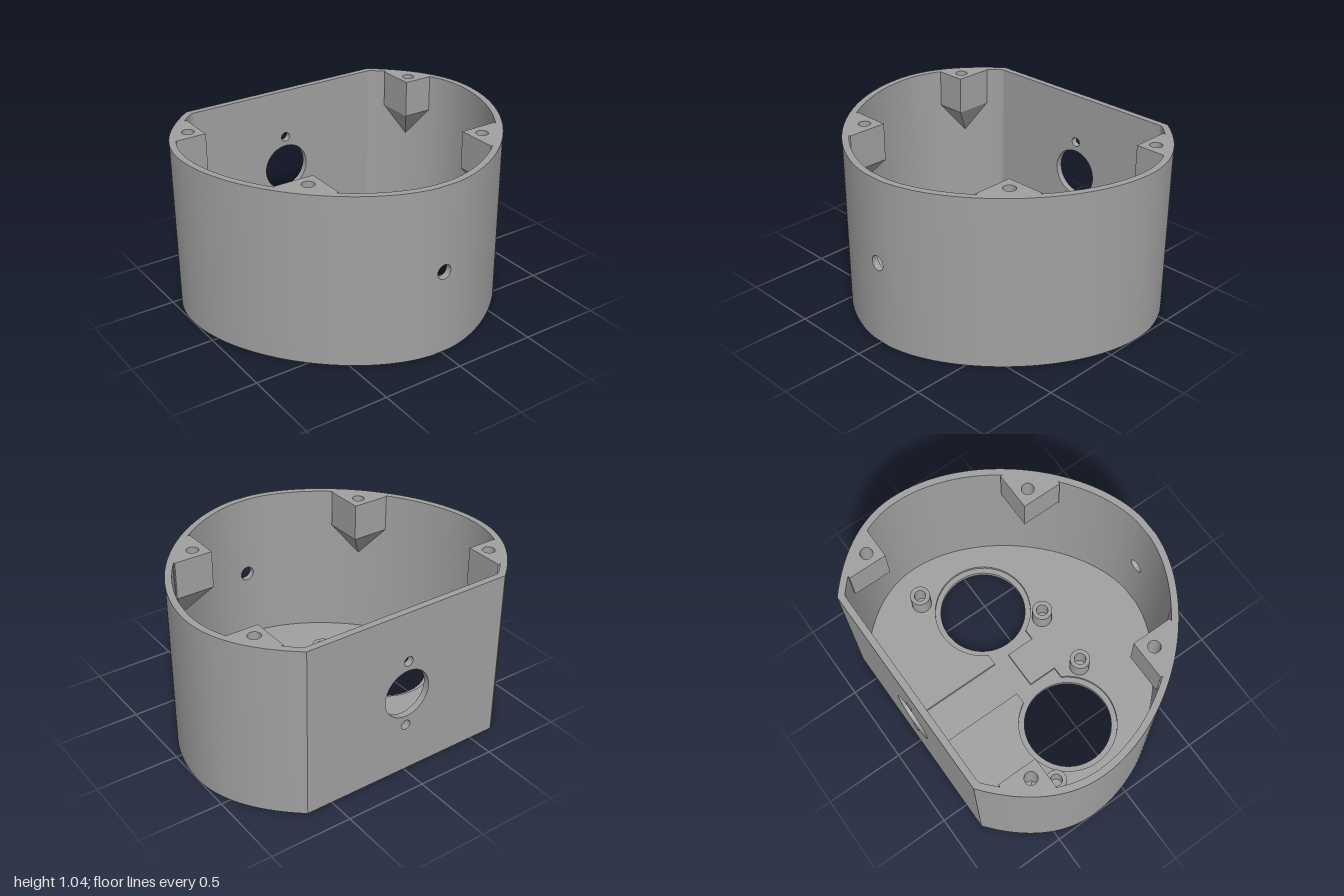
import * as THREE from 'three';
import { toCreasedNormals } from 'three/addons/utils/BufferGeometryUtils.js';

const H = 1.04, WALL = 0.04, FLOOR = 0.07, BACK = -0.835, FRONT = 0.835;
const EYE = { x: 0.46, z: -0.04 };
const PATCH = 0.06; // half width of the front panel carrying the small hole
const V = (x, z) => new THREE.Vector2(x, z);

// Half outline in plan (x, z), from the front centre round to the back corner
const frontCurve = new THREE.CubicBezierCurve(V(0, FRONT), V(0.46, FRONT), V(1, 0.29), V(1, -0.24));
const backCurve = new THREE.CubicBezierCurve(V(1, -0.24), V(1, -0.5), V(0.83, -0.7), V(0.66, BACK));

function halfOutline(inset) {
  const out = [];
  for (const [curve, n, start] of [[frontCurve, 60, 0], [backCurve, 30, 1]]) {
    for (let i = start; i <= n; i++) {
      const p = curve.getPoint(i / n), t = curve.getTangent(i / n);
      const q = V(p.x + t.y * inset, p.y - t.x * inset);
      q.y = Math.max(q.y, BACK + inset);
      out.push(q);
    }
  }
  return out;
}
const mirror = (pts) => pts.map((p) => V(-p.x, p.y));
const circle = (x, z, r, n = 48) =>
  Array.from({ length: n }, (_, i) => V(x + r * Math.cos((i / n) * 2 * Math.PI), z + r * Math.sin((i / n) * 2 * Math.PI)));

// Plan outline extruded from y0 to y1
function slab(pts, y0, y1, holes = []) {
  const flip = (list) => list.map((p) => V(p.x, -p.y));
  const shape = new THREE.Shape(flip(pts));
  holes.forEach((h) => shape.holes.push(new THREE.Path(flip(h))));
  const g = new THREE.ExtrudeGeometry(shape, { depth: y1 - y0, bevelEnabled: false });
  g.rotateX(-Math.PI / 2).translate(0, y0, 0);
  return toCreasedNormals(g, 0.5);
}

// Upright panel with round holes given as [x, y, radius]
function panel(halfWidth, z0, z1, holes) {
  const shape = new THREE.Shape([V(-halfWidth, 0), V(halfWidth, 0), V(halfWidth, H), V(-halfWidth, H)]);
  holes.forEach(([x, y, r]) => shape.holes.push(new THREE.Path(circle(x, y, r))));
  const g = new THREE.ExtrudeGeometry(shape, { depth: z1 - z0, bevelEnabled: false });
  return toCreasedNormals(g.translate(0, 0, z0), 0.5);
}

export function createModel() {
  const group = new THREE.Group();
  const grey = new THREE.MeshStandardMaterial({ color: 0xa0a0a0, side: THREE.DoubleSide });
  grey.name = 'grey plastic';
  const add = (name, geometry) => {
    const mesh = new THREE.Mesh(geometry, grey);
    mesh.name = name;
    group.add(mesh);
  };

  const outer = halfOutline(0), inner = halfOutline(WALL);
  const backX = inner[inner.length - 1].x;

  // Curved side walls
  const side = [
    V(PATCH, FRONT - 0.003), ...outer.filter((p) => p.x > PATCH), V(backX, BACK),
    ...inner.filter((p) => p.x > PATCH).reverse(), V(PATCH, FRONT - WALL - 0.003),
  ];
  add('leftWall', slab(side, 0, H));
  add('rightWall', slab(mirror(side), 0, H));

  // Front panel with its small hole, bent to follow the curve
  const front = panel(PATCH, FRONT - WALL, FRONT, [[0, 0.52, 0.045]]);
  const pos = front.attributes.position, nor = front.attributes.normal;
  for (let i = 0; i < pos.count; i++) {
    const x = pos.getX(i), nz = nor.getZ(i);
    pos.setZ(i, pos.getZ(i) - (x * x) / 1.2);
    if (Math.abs(nz) > 0.9) nor.setX(i, (x / 0.6) * Math.sign(nz));
  }
  front.normalizeNormals();
  add('frontPanel', front);

  // Flat back with the connector hole and two screw holes
  add('backPanel', panel(backX, BACK, BACK + WALL, [[0, 0.52, 0.15], [0, 0.73, 0.03], [0, 0.31, 0.03]]));

  // Floor in three layers: outside recess, lip, inside recess with channels
  const plan = [...inner, ...mirror(inner.slice(1)).reverse()];
  const eyes = (r) => [circle(EYE.x, EYE.z, r, 64), circle(-EYE.x, EYE.z, r, 64)];
  add('floorRecess', slab(plan, 0, 0.02, eyes(0.39)));
  add('floorLip', slab(plan, 0.02, 0.05, eyes(0.27)));
  const arc = [];
  const a0 = Math.asin(0.145 / 0.305);
  for (let i = 0; i <= 48; i++) {
    const a = Math.PI + a0 + (i / 48) * 2 * (Math.PI - a0);
    arc.push(V(EYE.x + 0.305 * Math.cos(a), EYE.z + 0.305 * Math.sin(a)));
  }
  const channel = [
    V(0.12, BACK + WALL + 0.003), V(0.12, EYE.z - 0.145), ...arc, V(0.12, EYE.z + 0.145), V(0.12, -0.08),
  ];
  add('floorTop', slab(plan, 0.05, FLOOR, [[...channel, ...mirror(channel).reverse()]]));

  // Hollow posts beside the round openings
  for (const s of [-1, 1]) {
    for (const [x, z] of [[0.73, -0.33], [0.2, 0.24]]) {
      add('post', slab(circle(s * x, z, 0.063, 32), FLOOR, 0.2, [circle(s * x, z, 0.036, 24)]));
    }
  }

  // Screw blocks under the rim, each tapering to a point on the wall
  const blocks = [
    { name: 'backScrewBlock', cx: 0.717, cz: -0.48, dir: -1, hole: [0.79, -0.56] },
    { name: 'frontScrewBlock', cx: 0.51, cz: 0.33, dir: 1, hole: [0.59, 0.41] },
  ];
  for (const { name, cx, cz, dir, hole } of blocks) {
    const wall = inner.filter((p) => p.x > cx && (p.y - cz) * dir > 0);
    const ends = [wall[0], wall[wall.length - 1]].map((p) =>
      Math.abs(p.x - cx) < Math.abs(p.y - cz) ? V(cx, p.y) : V(p.x, cz));
    const loop = [V(cx, cz), ends[0], ...wall, ends[1]];
    const tip = wall[Math.floor(wall.length / 2)];
    const yLow = 0.81, yTip = 0.62;
    for (const s of [1, -1]) {
      const pts = s > 0 ? loop : mirror(loop);
      add(name, slab(pts, yLow, H, [circle(s * hole[0], hole[1], 0.037, 24)]));
      const verts = [];
      pts.forEach((p, i) => {
        const q = pts[(i + 1) % pts.length];
        const [a, b] = s > 0 ? [p, q] : [q, p];
        verts.push(a.x, yLow, a.y, s * tip.x, yTip, tip.y, b.x, yLow, b.y);
      });
      const taper = new THREE.BufferGeometry();
      taper.setAttribute('position', new THREE.Float32BufferAttribute(verts, 3));
      // Face the taper outward
      const ab = new THREE.Vector3(), n = new THREE.Vector3();
      taper.computeVertexNormals();
      n.fromBufferAttribute(taper.attributes.normal, 0);
      ab.set(s * (cx - tip.x), 0, cz - tip.y);
      if (n.dot(ab) < 0) {
        const p = taper.attributes.position.array;
        for (let i = 0; i < p.length; i += 9) {
          for (let k = 0; k < 3; k++) [p[i + k], p[i + 6 + k]] = [p[i + 6 + k], p[i + k]];
        }
        taper.computeVertexNormals();
      }
      add(name + 'Taper', taper);
    }
  }
  return group;
}
